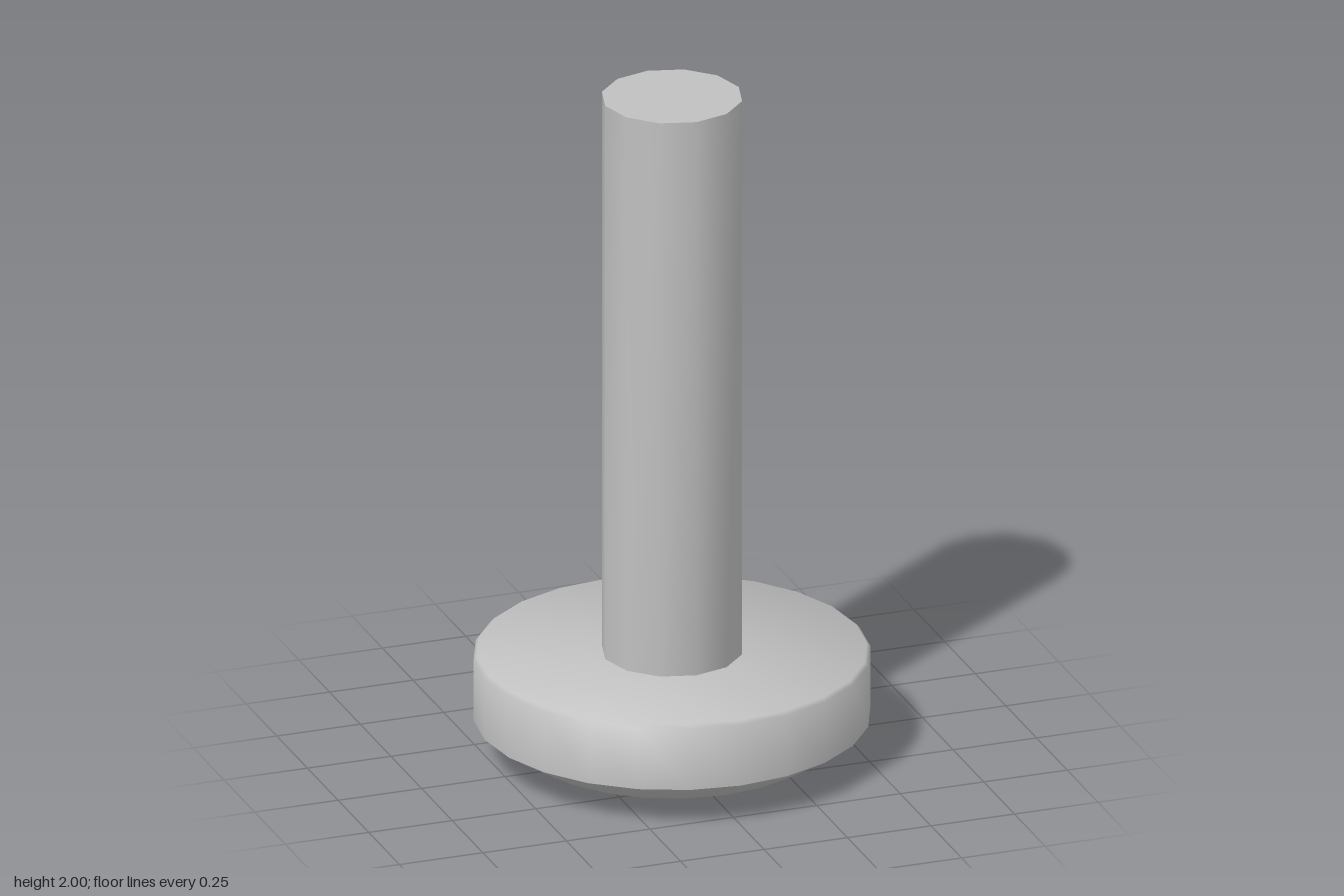
import * as THREE from 'three';
import { toCreasedNormals } from 'three/addons/utils/BufferGeometryUtils.js';

const steel = new THREE.MeshStandardMaterial({ color: 0xc0c0c0 });
steel.name = 'steel grey';

const HEAD_R = 0.56, RING_R = 0.43, SLOT = 0.15, NOTCH_X = 0.145, NOTCH_Z = 0.3, FLOOR_Y = 0.12;

// One half of the domed underside, cut by the long slot and the short cross notch
function domeHalf() {
  const onCircle = (r, y, i) => {
    const a = (i * Math.PI) / 12;
    const z = Math.max(r * Math.sin(a), SLOT);
    const x = Math.sign(6 - i) * Math.sqrt(Math.max(r * r - z * z, 0));
    return [x, y, z];
  };
  const outer = [], ring = [], inner = [];
  for (let i = 1; i <= 11; i++) {
    outer.push(onCircle(HEAD_R, FLOOR_Y, i));
    ring.push(onCircle(RING_R, 0.04, i));
    const x = NOTCH_X * Math.max(-1, Math.min(1, (6 - i) / 2));
    inner.push(i < 4 || i > 8 ? [x, 0, SLOT] : [x, 0.025, NOTCH_Z]);
  }

  const pos = [];
  const same = (a, b) => a.every((v, k) => v === b[k]);
  const tri = (a, b, c) => {
    if (!same(a, b) && !same(b, c) && !same(a, c)) pos.push(...a, ...b, ...c);
  };
  const quad = (a, b, c, d) => { tri(a, b, c); tri(a, c, d); };

  // Steep rim band and shallow centre band
  for (let i = 0; i < 10; i++) {
    quad(outer[i], outer[i + 1], ring[i + 1], ring[i]);
    quad(ring[i], ring[i + 1], inner[i + 1], inner[i]);
  }
  // Slot walls rising to the slot floor
  const edge = [outer[0], ring[0], ...inner, ring[10], outer[10]];
  const up = (p) => [p[0], FLOOR_Y, p[2]];
  for (let i = 0; i < edge.length - 1; i++) {
    quad(edge[i], edge[i + 1], up(edge[i + 1]), up(edge[i]));
  }

  const geo = new THREE.BufferGeometry();
  geo.setAttribute('position', new THREE.Float32BufferAttribute(pos, 3));
  return toCreasedNormals(geo, 0.6);
}

export function createModel() {
  const group = new THREE.Group();
  group.name = 'screw';
  const add = (name, geo) => {
    const mesh = new THREE.Mesh(geo, steel);
    mesh.name = name;
    group.add(mesh);
    return mesh;
  };

  // Shaft
  const shaft = new THREE.CylinderGeometry(0.2, 0.2, 1.7, 12);
  add('shaft', toCreasedNormals(shaft, 0.6)).position.y = 1.15;

  // Head disc, whose underside is the slot floor
  const profile = [[0, FLOOR_Y], [HEAD_R, FLOOR_Y], [HEAD_R, 0.305], [0.55, 0.315], [0, 0.315]]
    .map(([r, y]) => new THREE.Vector2(r, y));
  add('head', toCreasedNormals(new THREE.LatheGeometry(profile, 24), 0.85));

  // Domed underside halves
  const dome = domeHalf();
  add('frontDome', dome);
  add('backDome', dome).rotation.y = Math.PI;

  return group;
}
